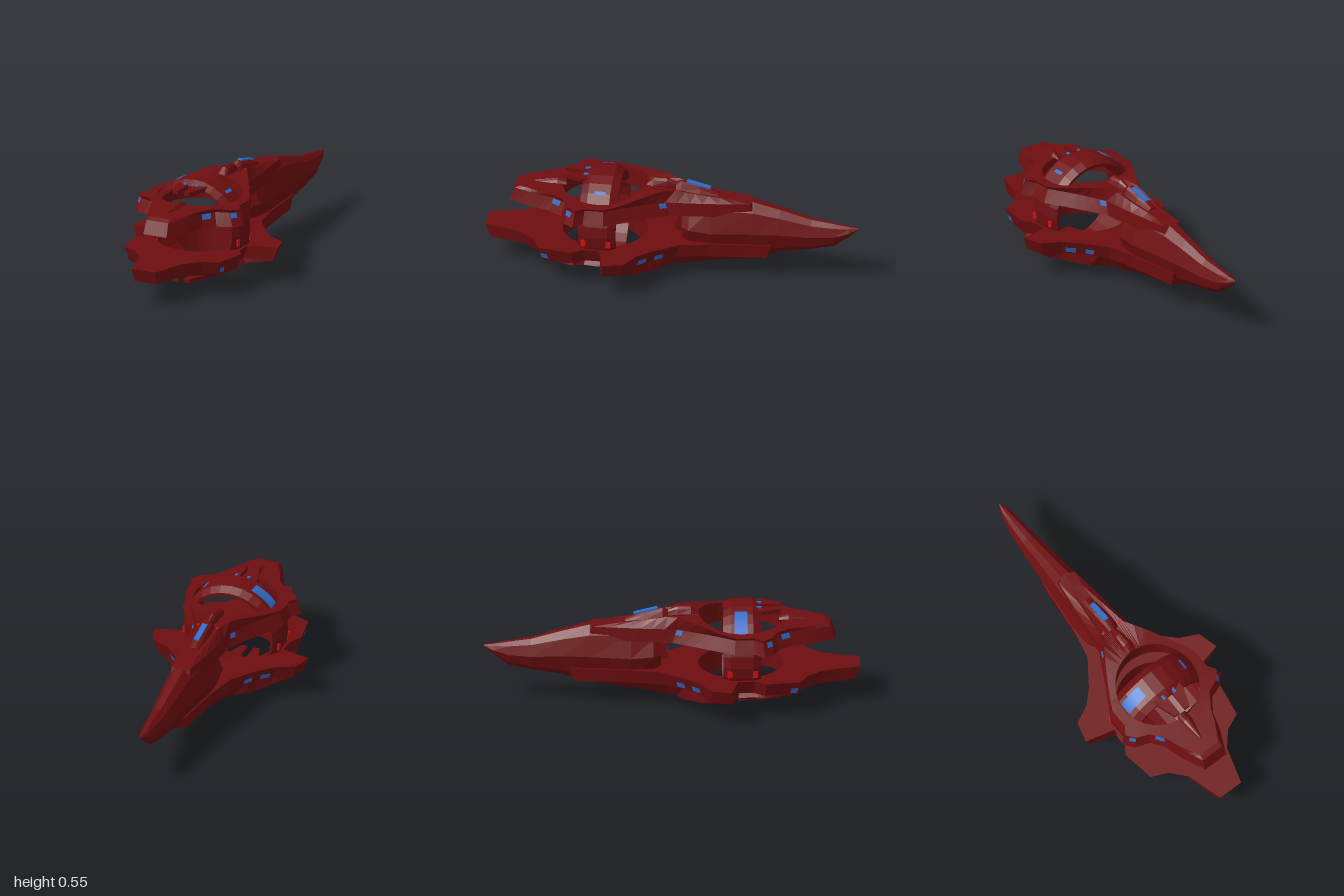
import * as THREE from 'three';

const HOLE = 0.225, CZ = 0.365, RING_Y = 0.278;
// half outlines [x, z], from nose to tail
const UPPER = [[0, .87], [.07, .87], [.13, .74], [.16, .64], [.21, .57], [.29, .54], [.33, .49], [.29, .44],
  [.29, .33], [.2, .17], [.11, 0], [.09, -.2], [.055, -.45], [0, -.47]];
const LOWER = [[0, 1], [.07, 1], [.13, .8], [.2, .72], [.29, .68], [.32, .5], [.28, .44], [.28, .35], [.44, .31],
  [.41, .2], [.31, .15], [.24, .08], [.14, -.06], [.105, -.22], [.07, -.54], [0, -.57]];
// crown heights [z, y]
const CROWN = [[.87, .445], [.6, .46], [.3, .465], [.14, .495], [.05, .51], [-.2, .465], [-.47, .43]];
const BELLY = [[1, .13], [.6, .115], [.3, .085], [.15, .048], [0, .06], [-.35, .105], [-.57, .15]];

function heightAt(table, z) {
  for (let i = 1; i < table.length; i++) {
    const [z0, y0] = table[i - 1], [z1, y1] = table[i];
    if (z >= z1) return y0 + (y1 - y0) * Math.min(1, Math.max(0, (z0 - z) / (z0 - z1)));
  }
  return table[table.length - 1][1];
}

// faceted geometry from quads and triangles
function faceted(faces) {
  const pos = [];
  for (const f of faces)
    for (let i = 1; i < f.length - 1; i++) pos.push(...f[0], ...f[i], ...f[i + 1]);
  const g = new THREE.BufferGeometry();
  g.setAttribute('position', new THREE.Float32BufferAttribute(pos, 3));
  g.computeVertexNormals();
  return g;
}

// radial cross-section of a hull plate through one outline point
function section([x, z], p) {
  const d = Math.hypot(x, z - CZ), ux = x / d, uz = (z - CZ) / d;
  const hx = ux * HOLE, hz = CZ + uz * HOLE;
  const crown = (px, pz) => p.edge + (heightAt(p.table, pz) - p.edge) * (1 - (px / .42) ** 2);
  const ix = (x + (hx - x) * .2) * (z < 0 ? .75 : 1), iz = z + (hz - z) * .2;
  return [[hx, p.flat, hz], [x, p.flat, z], [x - ux * .028, p.edge, z - uz * .028],
    [ix, crown(ix, iz), iz], [hx, crown(hx, hz), hz]];
}

function plateGeometry(p) {
  const full = [...p.outline, ...p.outline.slice(1, -1).reverse().map(([x, z]) => [-x, z])];
  const loop = [];
  full.forEach(([x, z], i) => {
    const [nx, nz] = full[(i + 1) % full.length];
    for (let k = 0; k < 3; k++) loop.push(section([x + (nx - x) * k / 3, z + (nz - z) * k / 3], p));
  });
  const faces = [];
  loop.forEach((a, i) => {
    const b = loop[(i + 1) % loop.length];
    for (let j = 0; j < 5; j++) {
      const k = (j + 1) % 5, q = [a[j], b[j], b[k], a[k]];
      faces.push(p.edge > p.flat ? q : q.reverse());
    }
  });
  return faceted(faces);
}

// eight-sided hull from sections [z, top, bottom, halfWidth], nose first
function loft(sections) {
  const shape = [[1, 0], [.68, .7], [.25, 1], [-.25, 1], [-.68, .7], [-1, 0], [-.68, -.7], [-.25, -1], [.25, -1], [.68, -.7]];
  const rings = sections.map(([z, t, b, w]) => shape.map(([x, y]) => [x * w, (t + b) / 2 + y * (t - b) / 2, z]));
  const n = shape.length, faces = [rings[0], [...rings[rings.length - 1]].reverse()];
  for (let k = 0; k < rings.length - 1; k++)
    for (let i = 0; i < n; i++) {
      const j = (i + 1) % n;
      faces.push([rings[k][i], rings[k + 1][i], rings[k + 1][j], rings[k][j]]);
    }
  return faceted(faces);
}

// thin pane lying on the edge wall of a plate
function pane(p, seg, t0, t1, v0, v1, side) {
  const lerp = (a, b, t) => a.map((v, i) => v + (b[i] - v) * t);
  const A = p.outline[seg], B = p.outline[seg + 1];
  const at = (t, v) => { const s = section(lerp(A, B, t), p); return new THREE.Vector3(...lerp(s[1], s[2], v)); };
  const c = [at(t0, v0), at(t1, v0), at(t1, v1), at(t0, v1)];
  const n = c[1].clone().sub(c[0]).cross(c[3].clone().sub(c[0])).normalize();
  if (n.x * c[0].x + n.z * (c[0].z - CZ) < 0) n.negate();
  return faceted([c.map(v => v.addScaledVector(n, .004)).map(v => [v.x * side, v.y, v.z])]);
}

export function createModel() {
  const group = new THREE.Group();
  const hull = new THREE.MeshStandardMaterial({ color: 0x6e0e10 });
  const glass = new THREE.MeshStandardMaterial({ color: 0x2f6cc8, side: THREE.DoubleSide });
  const lamp = new THREE.MeshStandardMaterial({ color: 0xd01014, side: THREE.DoubleSide });
  const add = (name, geo, mat = hull, x = 0, y = 0, z = 0) => {
    const m = new THREE.Mesh(geo, mat);
    m.name = name;
    m.position.set(x, y, z);
    group.add(m);
    return m;
  };

  // two hull plates around a round opening
  const upper = { outline: UPPER, flat: .362, edge: .435, table: CROWN };
  const lower = { outline: LOWER, flat: .205, edge: .13, table: BELLY };
  add('upperPlate', plateGeometry(upper));
  add('lowerPlate', plateGeometry(lower));

  // tail spike and the block between the plates
  add('tailSpike', loft([[-.06, .375, .19, .085], [-.1, .41, .15, .112], [-.22, .45, .09, .112], [-.44, .435, .115, .09],
    [-.58, .4, .15, .076], [-.75, .352, .178, .058], [-.87, .335, .205, .043], [-.95, .322, .262, .028], [-1, .316, .308, .006]]));
  add('dockingFrame', new THREE.BoxGeometry(.08, .09, .06), hull, 0, .285, -.06);
  add('dockingDoor', new THREE.BoxGeometry(.065, .04, .02), hull, 0, .265, -.03);

  // upright ring, bevelled on its outer edges
  const profile = [[.235, .27], [.235, .47], [.25, .47], [.275, .43], [.275, .31], [.25, .27], [.235, .27]];
  const ringGeo = new THREE.LatheGeometry(profile.map(([r, z]) => new THREE.Vector2(r, z)).reverse(), 28)
    .toNonIndexed();
  ringGeo.computeVertexNormals();
  hull.side = THREE.DoubleSide;
  add('ring', ringGeo, hull, 0, RING_Y, 0).rotation.x = Math.PI / 2;

  // curved panels on the ring: angle from the top towards +x, arc, z centre, width
  const ringPanel = (name, mat, angle, arc, z, w) => {
    const g = new THREE.CylinderGeometry(.278, .278, w, 8, 1, true, -arc / 2, arc);
    g.rotateX(-Math.PI / 2);
    g.rotateZ(-angle);
    add(name, g, mat, 0, RING_Y, z);
  };
  ringPanel('ringWindow', glass, -.64, .52, .365, .07);
  ringPanel('ringSlit', glass, .66, .07, .365, .06);
  for (const s of [-1, 1]) {
    for (const z of [.44, .305]) {
      add('ringLamp', new THREE.BoxGeometry(.009, .035, .025), lamp, s * .27, .243, z);
    }
    ringPanel('lowerRingSlit', glass, s * 2.5, .06, .375, .05);
  }

  // dorsal cockpit, spine blocks and nose pods
  add('spine', loft([[.14, .5, .46, .035], [.1, .53, .46, .035], [.03, .53, .45, .028], [-.02, .51, .45, .015]]));
  add('cockpit', loft([[-.02, .505, .44, .035], [-.05, .523, .44, .04], [-.15, .5, .43, .04], [-.25, .465, .42, .035]]));
  add('cockpitWindow', new THREE.BoxGeometry(.03, .008, .13), glass, 0, .506, -.14).rotation.x = -.24;
  add('nosePod', loft([[.74, .457, .44, .008], [.62, .482, .44, .032], [.57, .47, .44, .028]]));
  add('chinPod', loft([[.73, .375, .35, .025], [.68, .375, .335, .04], [.6, .375, .335, .03]]));

  // paired fins in front of the ring, above and below
  for (const s of [-1, 1]) {
    const fin = new THREE.Shape([[.018, .42], [.085, .42], [.085, .48], [.05, .58], [.018, .58]]
      .map(([x, z]) => new THREE.Vector2(s * x, z)));
    for (const y of [.53, .045]) {
      const g = new THREE.ExtrudeGeometry(fin, { depth: .022, bevelEnabled: false });
      add('fin', g.rotateX(Math.PI / 2), hull, 0, y, 0);
    }
    add('finLight', new THREE.BoxGeometry(.015, .008, .03), glass, s * .035, .533, .46);
    add('spineLamp', new THREE.BoxGeometry(.014, .03, .014), lamp, s * .055, .475, -.035);

    // edge windows
    for (const [p, seg, t0, t1] of [[upper, 3, 0, .65], [upper, 5, 0, .6], [upper, 9, .8, 1],
      [lower, 4, .02, .22], [lower, 10, .2, .8], [lower, 11, .2, .5]]) {
      add('edgeWindow', pane(p, seg, t0, t1, p === upper ? .6 : .45, p === upper ? .97 : .85, s), glass);
    }
  }
  return group;
}
